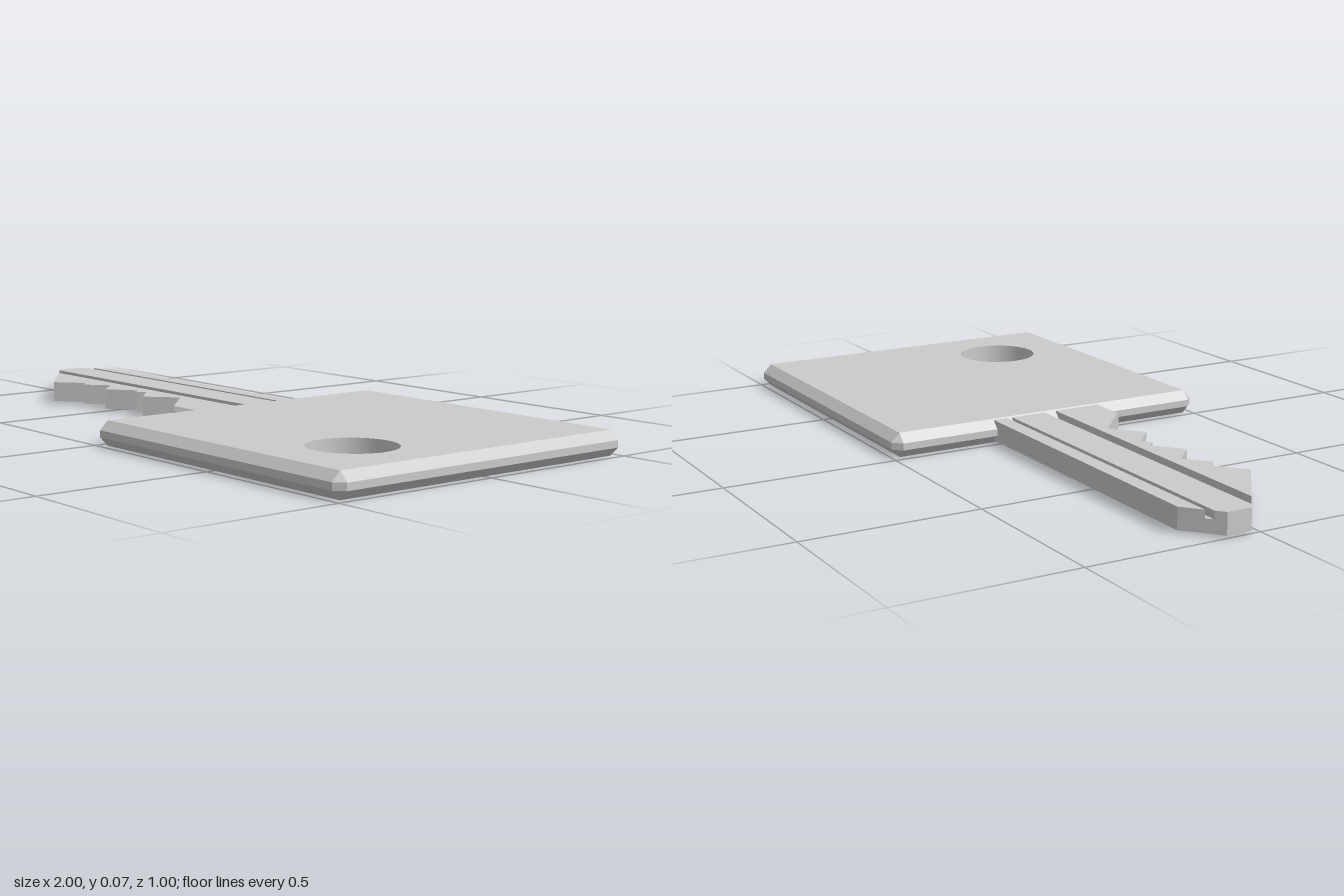
import * as THREE from 'three';

const material = new THREE.MeshStandardMaterial({ color: 0xcccccc, flatShading: true, side: THREE.DoubleSide });

function part(name, geometry) {
  const mesh = new THREE.Mesh(geometry, material);
  mesh.name = name;
  return mesh;
}

// Plan outline in [x, z] extruded upward from y0 to y1
function slab(points, y0, y1) {
  const shape = new THREE.Shape(points.map(([x, z]) => new THREE.Vector2(x, -z)));
  const geometry = new THREE.ExtrudeGeometry(shape, { depth: y1 - y0, bevelEnabled: false });
  return geometry.rotateX(-Math.PI / 2).translate(0, y0, 0);
}

// Square head: flat faces with a hole, chamfered rim, hole wall
function createHead() {
  const head = new THREE.Group();
  head.name = 'head';
  const h = 0.07, c = 0.025, half = 0.5, inner = half - c;
  const hole = { x: 0.74, z: 0.225, r: 0.12 };

  const shape = new THREE.Shape();
  shape.moveTo(c, -inner).lineTo(1 - c, -inner).lineTo(1 - c, inner).lineTo(c, inner).closePath();
  shape.holes.push(new THREE.Path().absarc(hole.x, -hole.z, hole.r, 0, Math.PI * 2, true));
  const face = new THREE.ShapeGeometry(shape, 24);
  head.add(part('headTop', face.clone().rotateX(-Math.PI / 2).translate(0, h, 0)));
  // Mirror the top to face downward
  const bottom = face.clone().scale(1, -1, 1).rotateX(Math.PI / 2);
  const order = bottom.index.array;
  for (let i = 0; i < order.length; i += 3) [order[i], order[i + 1]] = [order[i + 1], order[i]];
  bottom.computeVertexNormals();
  // The mirrored winding needs turning only if it faces up
  if (bottom.attributes.normal.getY(0) > 0) {
    for (let i = 0; i < order.length; i += 3) [order[i], order[i + 1]] = [order[i + 1], order[i]];
    bottom.computeVertexNormals();
  }
  head.add(part('headBottom', bottom));

  // Rim: eight-sided loops, shrinking to squares at top and bottom
  const levels = [[0, 0], [c, c], [h - c, c], [h, 0]];
  const positions = [], index = [];
  for (const [y, out] of levels) {
    for (const [sx, sz, xFirst] of [[1, -1, 0], [1, -1, 1], [1, 1, 1], [1, 1, 0], [-1, 1, 0], [-1, 1, 1], [-1, -1, 1], [-1, -1, 0]]) {
      positions.push(0.5 + sx * (inner + (xFirst ? out : 0)), y, sz * (inner + (xFirst ? 0 : out)));
    }
  }
  for (let l = 0; l < 3; l++) {
    for (let i = 0; i < 8; i++) {
      const a = l * 8 + i, b = l * 8 + (i + 1) % 8;
      index.push(a, a + 8, b, b, a + 8, b + 8);
    }
  }
  const rim = new THREE.BufferGeometry();
  rim.setAttribute('position', new THREE.Float32BufferAttribute(positions, 3));
  rim.setIndex(index);
  rim.computeVertexNormals();
  head.add(part('headRim', rim));

  const wall = new THREE.CylinderGeometry(hole.r, hole.r, h, 48, 1, true).translate(hole.x, h / 2, hole.z);
  const holeWall = part('keyringHole', wall);
  holeWall.material = new THREE.MeshStandardMaterial({ color: 0xcccccc, side: THREE.BackSide });
  head.add(holeWall);
  return head;
}

// Blade: lengthwise strips, the two grooves being lower than the rest
function createBlade() {
  const blade = new THREE.Group();
  blade.name = 'blade';
  const y0 = 0.007, top = 0.067, floor = 0.045, end = 0.02;
  const tipX = (z) => (z < -0.1 ? -1 - (z + 0.1) * 1.19 : -1 + Math.max(0, z + 0.028) * 1.37);
  const strip = (za, zb, extra = []) => [[end, za], [end, zb], [tipX(zb), zb], ...extra, [tipX(za), za]];

  blade.add(part('backStrip', slab(strip(-0.18, -0.136), y0, top)));
  blade.add(part('narrowGroove', slab(strip(-0.136, -0.121), y0, floor)));
  blade.add(part('middleStrip', slab(strip(-0.121, -0.013, [[-1, -0.028], [-1, -0.1]]), y0, top)));
  blade.add(part('wideGroove', slab(strip(-0.013, 0.024), y0, floor)));

  // Cut teeth along the front edge
  const teeth = [
    [end, 0.024], [end, 0.165], [-0.093, 0.165], [-0.22, 0.05], [-0.305, 0.125], [-0.378, 0.06],
    [-0.4, 0.082], [-0.424, 0.06], [-0.504, 0.125], [-0.57, 0.06], [-0.635, 0.117], [-0.664, 0.093],
    [-0.742, 0.16], [tipX(0.024), 0.024],
  ];
  blade.add(part('teeth', slab(teeth, y0, top)));

  // Shoulder edge with chamfers, its end following the slope of the cut
  const nose = new THREE.Shape([[0.165, y0], [0.175, 0.02], [0.175, 0.054], [0.165, top]].map(([z, y]) => new THREE.Vector2(-z, y)));
  const geometry = new THREE.ExtrudeGeometry(nose, { depth: 0.113, bevelEnabled: false });
  geometry.rotateY(Math.PI / 2).translate(-0.093, 0, 0);
  const p = geometry.attributes.position;
  for (let i = 0; i < p.count; i++) {
    if (p.getX(i) < -0.05) p.setX(i, -0.093 + (p.getZ(i) - 0.165) * 1.1);
  }
  geometry.computeVertexNormals();
  blade.add(part('shoulderEdge', geometry));
  return blade;
}

export function createModel() {
  const key = new THREE.Group();
  key.name = 'key';
  key.add(createHead(), createBlade());
  return key;
}
